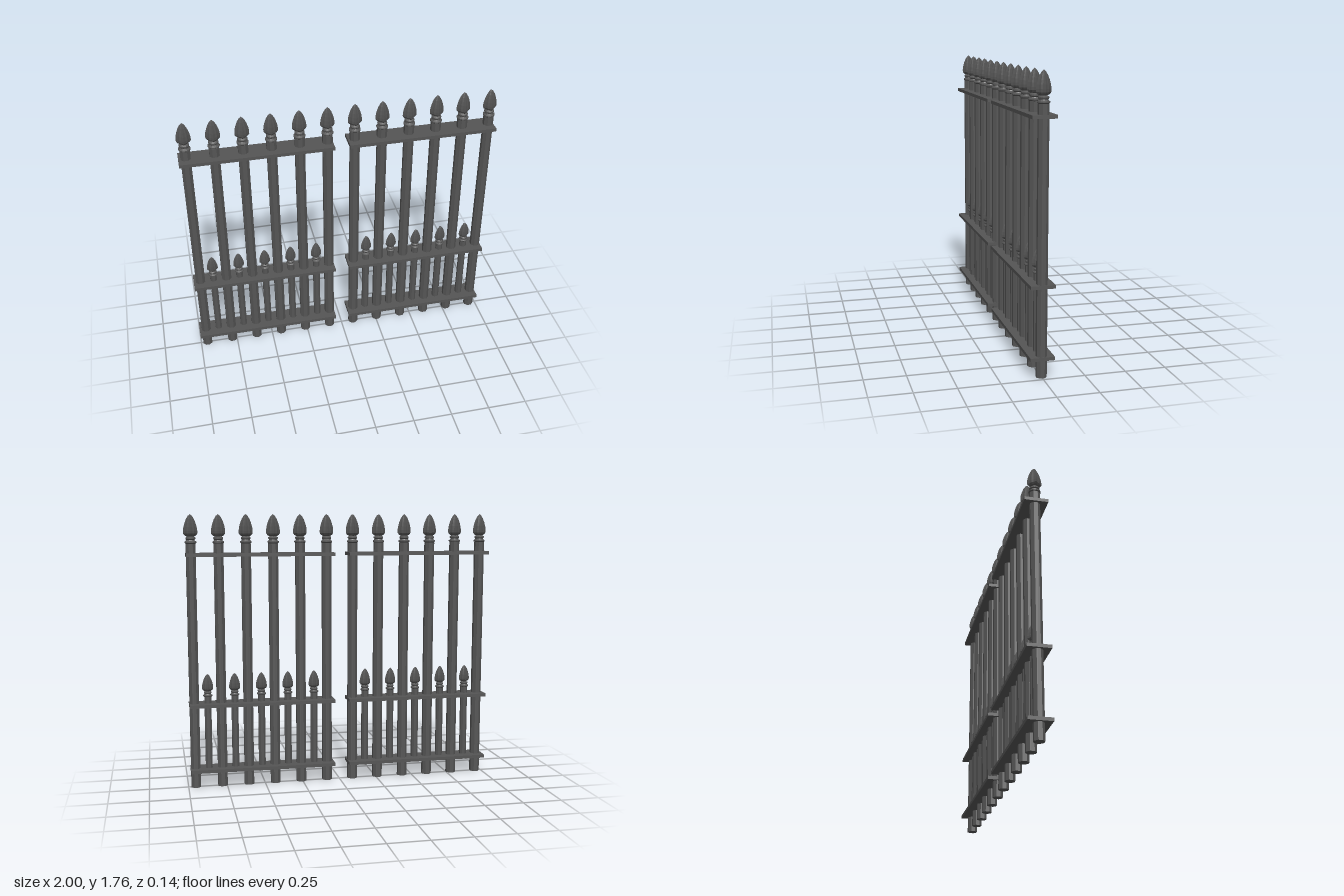
import * as THREE from 'three';

const iron = new THREE.MeshStandardMaterial({ color: 0x555555, flatShading: true });

// Collar rings and neck below the spear head, as a lathe
function collarGeometry() {
  const pts = [[0, 0], [0.03, 0], [0.037, 0.006], [0.037, 0.013], [0.029, 0.018],
    [0.026, 0.024], [0.031, 0.03], [0.031, 0.038], [0.02, 0.046], [0, 0.046]];
  return new THREE.LatheGeometry(pts.map(([r, y]) => new THREE.Vector2(r, y)), 16);
}

// Leaf-shaped spear head: a lathe pinched between four ribs
function spearGeometry() {
  const pts = [[0, 0.04], [0.022, 0.044], [0.036, 0.052], [0.044, 0.063], [0.0445, 0.08],
    [0.041, 0.105], [0.034, 0.13], [0.025, 0.153], [0.013, 0.173], [0, 0.184]];
  const geo = new THREE.LatheGeometry(pts.map(([r, y]) => new THREE.Vector2(r, y)), 16);
  const p = geo.attributes.position;
  for (let i = 0; i < p.count; i++) {
    const x = p.getX(i), z = p.getZ(i);
    const rib = Math.abs(Math.cos(2 * Math.atan2(z, x)));
    const k = rib > 0.9 && Math.min(Math.abs(x), Math.abs(z)) < 1e-4 ? 1 : 0.76;
    p.setX(i, x * k);
    p.setZ(i, z * k);
  }
  geo.computeVertexNormals();
  return geo;
}

const collar = collarGeometry();
const spear = spearGeometry();

function add(group, name, geometry, x, y, scale = 1) {
  const mesh = new THREE.Mesh(geometry, iron);
  mesh.name = name;
  mesh.position.set(x, y, 0);
  mesh.scale.setScalar(scale);
  group.add(mesh);
}

// One upright bar with its finial
function picket(name, x, bottom, top, radius, scale) {
  const group = new THREE.Group();
  group.name = name;
  const bar = new THREE.CylinderGeometry(radius, radius, top - bottom, 8);
  bar.rotateY(Math.PI / 8);
  add(group, 'bar', bar, x, (top + bottom) / 2);
  add(group, 'collar', collar, x, top, scale);
  add(group, 'spearHead', spear, x, top, scale);
  return group;
}

// One fence panel: three rails, six tall pickets, five short ones
function panel(name, railStart, railEnd, firstX) {
  const group = new THREE.Group();
  group.name = name;
  const step = 0.1735;
  const rail = new THREE.BoxGeometry(railEnd - railStart, 0.021, 0.145);
  [['bottomRail', 0.115], ['middleRail', 0.542], ['topRail', 1.502]].forEach(([n, y]) =>
    add(group, n, rail, (railStart + railEnd) / 2, y));
  for (let i = 0; i < 6; i++) {
    group.add(picket('tallPicket', firstX + i * step, 0, 1.572, 0.033, 1));
    if (i < 5) group.add(picket('shortPicket', firstX + (i + 0.5) * step, 0.11, 0.594, 0.0235, 0.8));
  }
  return group;
}

export function createModel() {
  const model = new THREE.Group();
  model.name = 'fence';
  model.add(panel('rightPanel', -1, -0.054, -0.955));
  model.add(panel('leftPanel', 0.04, 0.984, 0.084));
  return model;
}
